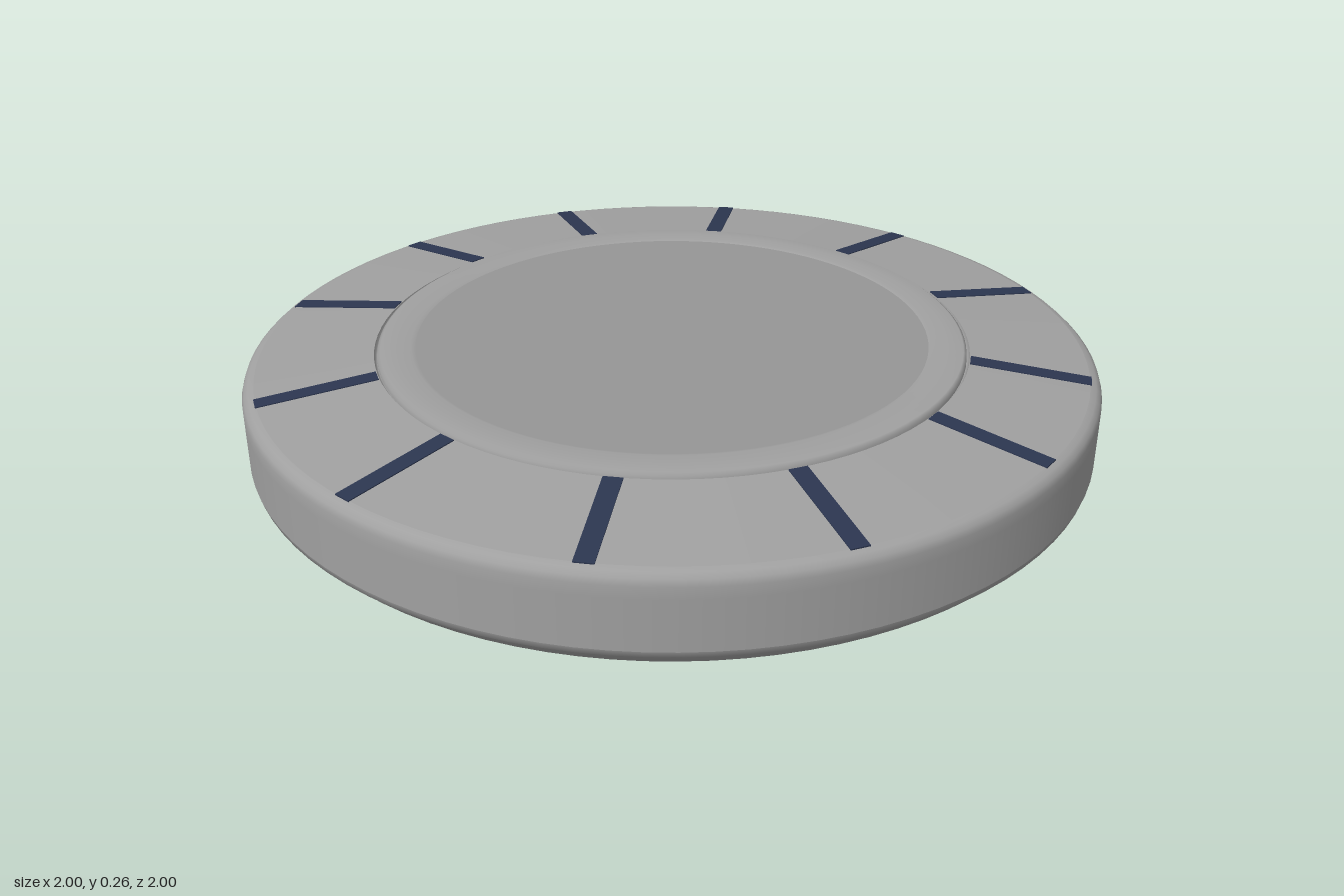
import * as THREE from 'three';

const SEGMENTS = 96;

export function createModel() {
  const model = new THREE.Group();
  model.name = 'roundDisc';

  const bodyGrey = new THREE.MeshStandardMaterial({ color: 0xa0a0a0 });
  bodyGrey.name = 'body grey';
  const faceGrey = new THREE.MeshStandardMaterial({ color: 0x969696 });
  faceGrey.name = 'face grey';
  const navy = new THREE.MeshStandardMaterial({ color: 0x2c3650 });
  navy.name = 'navy';

  // Revolves a profile of [radius, height] points; separate bands keep hard edges between them
  function band(name, profile, material) {
    const points = profile.map(([r, y]) => new THREE.Vector2(r, y));
    const mesh = new THREE.Mesh(new THREE.LatheGeometry(points, SEGMENTS), material);
    mesh.name = name;
    model.add(mesh);
  }

  // Outer body, from the underside up to the sloping top
  band('underside', [[0, 0], [0.95, 0]], bodyGrey);
  band('bottomBevel', [[0.95, 0], [0.965, 0.006], [0.983, 0.028]], bodyGrey);
  band('bottomLip', [[0.983, 0.028], [0.996, 0.038], [1, 0.052]], bodyGrey);
  band('sideWall', [[1, 0.052], [1, 0.168]], bodyGrey);
  band('topLip', [[1, 0.168], [1, 0.195], [0.995, 0.209], [0.985, 0.218], [0.972, 0.222]], bodyGrey);
  band('slopingRim', [[0.972, 0.222], [0.7, 0.247]], bodyGrey);

  // Narrow groove and the raised ring around the centre
  band('groove', [[0.7, 0.247], [0.697, 0.238], [0.693, 0.238]], bodyGrey);
  band('raisedRing', [[0.693, 0.238], [0.692, 0.25], [0.685, 0.255], [0.65, 0.256], [0.615, 0.255], [0.605, 0.252]], bodyGrey);
  band('centreFace', [[0.605, 0.252], [0, 0.252]], faceGrey);

  // Thin radial stripes lying on the sloping rim, slightly unevenly spaced
  const angles = [0, 32, 57, 88.5, 119, 151, 180, 213.5, 242, 270.5, 299, 330.5];
  const slope = Math.atan2(0.025, 0.272);
  for (const degrees of angles) {
    const spoke = new THREE.Group();
    spoke.name = 'rimStripe';
    spoke.rotation.y = -THREE.MathUtils.degToRad(degrees);
    const plate = new THREE.Mesh(new THREE.BoxGeometry(0.274, 0.006, 0.042), navy);
    plate.name = 'stripePlate';
    plate.position.set(0.838, 0.2335, 0);
    plate.rotation.z = -slope;
    spoke.add(plate);
    model.add(spoke);
  }

  return model;
}
